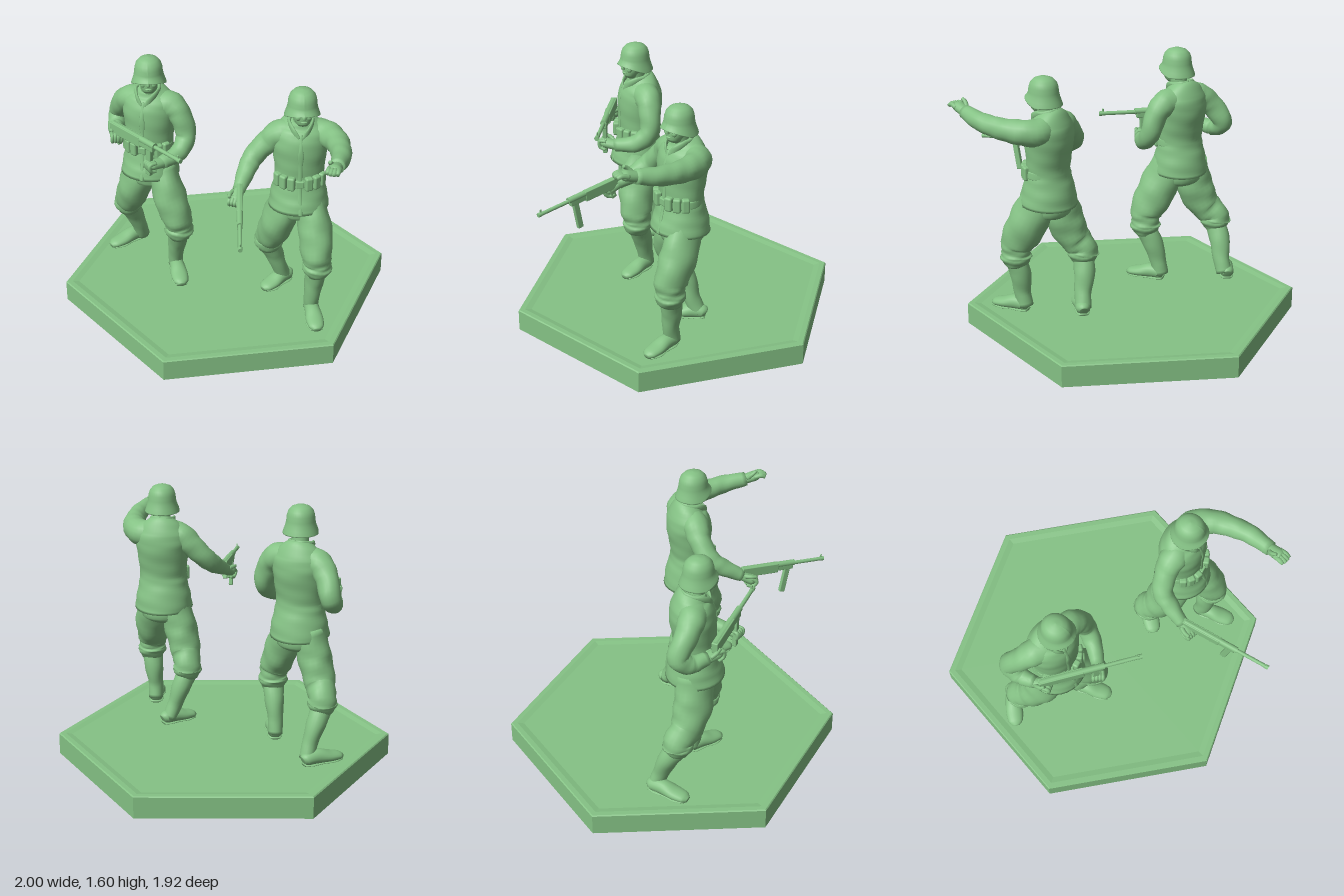
import * as THREE from 'three';
import { RoundedBoxGeometry } from 'three/addons/geometries/RoundedBoxGeometry.js';

const V = (x, y, z) => new THREE.Vector3(x, y, z);
const smooth = new THREE.MeshStandardMaterial({ color: 0x85c285, side: THREE.DoubleSide });
const flat = new THREE.MeshStandardMaterial({ color: 0x85c285, flatShading: true });
const FLOOR = 0.127;

function add(parent, name, geometry, pos = [0, 0, 0], rot = [0, 0, 0], material = smooth) {
  const mesh = new THREE.Mesh(geometry, material);
  mesh.name = name;
  mesh.position.set(...pos);
  mesh.rotation.set(...rot);
  parent.add(mesh);
  return mesh;
}

// Skin over elliptical sections [x, y, z, a, b]; fold adds cloth wrinkles
function loft(sections, { steps = 5, sides = 20, fold = 0 } = {}) {
  const path = new THREE.CatmullRomCurve3(sections.map(s => V(s[0], s[1], s[2])));
  const size = new THREE.CatmullRomCurve3(sections.map(s => V(s[3], s[4] ?? s[3], 0)));
  const n = (sections.length - 1) * steps;
  const chord = path.getPoint(1).sub(path.getPoint(0)).normalize();
  const ref = Math.abs(chord.y) > 0.6 ? V(0, 0, 1) : V(0, 1, 0);
  const pos = [], index = [];
  for (let i = 0; i <= n; i++) {
    const c = path.getPoint(i / n), r = size.getPoint(i / n), t = path.getTangent(i / n);
    const u = ref.clone().cross(t).normalize(), v = t.clone().cross(u);
    for (let j = 0; j < sides; j++) {
      const q = j / sides * Math.PI * 2;
      const w = 1 + fold * (Math.sin(q * 2 + i * 1.3) + 0.6 * Math.sin(q * 3 - i * 0.8));
      const p = c.clone().addScaledVector(u, Math.cos(q) * r.x * w).addScaledVector(v, Math.sin(q) * r.y * w);
      pos.push(p.x, p.y, p.z);
    }
  }
  pos.push(...path.getPoint(0).toArray(), ...path.getPoint(1).toArray());
  const first = (n + 1) * sides;
  for (let j = 0; j < sides; j++) {
    const k = (j + 1) % sides;
    for (let i = 0; i < n; i++) {
      const a = i * sides + j, b = i * sides + k;
      index.push(a, b, b + sides, a, b + sides, a + sides);
    }
    index.push(first, k, j, first + 1, n * sides + j, n * sides + k);
  }
  const g = new THREE.BufferGeometry();
  g.setAttribute('position', new THREE.Float32BufferAttribute(pos, 3));
  g.setIndex(index);
  g.computeVertexNormals();
  return g;
}

const ball = (a, b, c) => new THREE.SphereGeometry(1, 20, 14).scale(a, b, c);

function makeHelmet() {
  const profile = [[0.08, 0.05], [0.106, 0.002], [0.111, 0], [0.111, 0.005], [0.102, 0.03], [0.094, 0.055],
    [0.09, 0.075], [0.087, 0.105], [0.078, 0.132], [0.058, 0.153], [0.032, 0.163], [0, 0.166]];
  const g = new THREE.LatheGeometry(profile.map(p => new THREE.Vector2(...p)), 32);
  const p = g.attributes.position;
  for (let i = 0; i < p.count; i++) { // raise the brim over the face
    const low = Math.max(0, 1 - p.getY(i) / 0.09);
    p.setXYZ(i, p.getX(i) * 0.93, p.getY(i) + low * 0.045 * Math.max(0, p.getZ(i) / 0.11), p.getZ(i));
  }
  g.computeVertexNormals();
  return g;
}

function makeHead([x, y, z], yaw) {
  const head = new THREE.Group();
  head.name = 'head';
  head.position.set(x, y, z);
  head.rotation.y = yaw;
  add(head, 'neck', loft([[0, -0.1, -0.02, 0.056], [0, -0.04, -0.012, 0.05], [0, 0.02, 0, 0.052]]));
  add(head, 'skull', ball(0.065, 0.085, 0.082), [0, 0.045, 0]);
  add(head, 'jaw', loft([[0, -0.045, 0.044, 0.024, 0.026], [0, -0.032, 0.04, 0.038, 0.042],
    [0, 0, 0.034, 0.052, 0.05], [0, 0.05, 0.026, 0.058, 0.056]]));
  add(head, 'nose', loft([[0, 0.055, 0.078, 0.008], [0, 0.032, 0.092, 0.011], [0, 0.02, 0.09, 0.012]], { sides: 10 }));
  add(head, 'mouth', ball(0.019, 0.006, 0.008), [0, -0.005, 0.081]);
  for (const s of [-1, 1]) {
    add(head, 'ear', ball(0.01, 0.024, 0.016), [s * 0.064, 0.025, -0.005]);
    add(head, 'cheek', ball(0.018, 0.018, 0.014), [s * 0.03, 0.02, 0.067]);
  }
  add(head, 'helmet', makeHelmet());
  return head;
}

// Jacket, seat, collar, belt and pouches, facing +z before the turn
function makeTorso([x, z], yaw) {
  const torso = new THREE.Group();
  torso.name = 'torso';
  torso.position.set(x, 0, z);
  torso.rotation.y = yaw;
  add(torso, 'jacket', loft([[0, 0.825, 0.005, 0.176, 0.17], [0, 0.9, 0, 0.166, 0.154], [0, 0.98, 0, 0.149, 0.13],
    [0, 1.04, 0, 0.142, 0.12], [0, 1.13, -0.005, 0.15, 0.126], [0, 1.23, -0.012, 0.162, 0.133],
    [0, 1.3, -0.018, 0.158, 0.12], [0, 1.35, -0.018, 0.12, 0.094], [0, 1.39, -0.008, 0.066, 0.068]],
    { sides: 32, fold: 0.008 }));
  add(torso, 'trouserSeat', loft([[0, 0.73, -0.01, 0.05, 0.05], [0, 0.77, -0.01, 0.13, 0.12], [0, 0.88, 0, 0.14, 0.13]]));
  // Belt sits forward so the jacket covers it at the back
  add(torso, 'belt', loft([[0, 1.002, 0.01, 0.144, 0.121], [0, 1.006, 0.01, 0.147, 0.124],
    [0, 1.042, 0.01, 0.144, 0.121], [0, 1.046, 0.01, 0.14, 0.117]], { sides: 32 }));
  add(torso, 'buckle', new RoundedBoxGeometry(0.045, 0.042, 0.015, 2, 0.005), [0, 1.025, 0.133]);
  add(torso, 'placket', loft([[0.005, 0.84, 0.171, 0.012, 0.005], [0, 0.98, 0.13, 0.012, 0.005],
    [0, 1.13, 0.119, 0.012, 0.005], [0, 1.24, 0.12, 0.012, 0.005], [0, 1.33, 0.088, 0.01, 0.005]], { sides: 10 }));
  for (const s of [-1, 1]) {
    for (const q of [0.35, 0.7, 1.05])
      add(torso, 'ammoPouch', new RoundedBoxGeometry(0.046, 0.085, 0.04, 2, 0.012),
        [s * Math.sin(q) * 0.145, 1.028, Math.cos(q) * 0.134], [0, s * q, 0]);
    add(torso, 'collar', loft([[s * 0.012, 1.305, 0.094, 0.006, 0.01], [s * 0.042, 1.345, 0.075, 0.008, 0.02],
      [s * 0.066, 1.378, 0.02, 0.009, 0.018], [s * 0.045, 1.39, -0.055, 0.009, 0.018], [0, 1.392, -0.072, 0.009, 0.018]],
      { sides: 12 }));
  }
  return torso;
}

// Baggy trousers tucked in a boot; joints are hip, thigh, knee, cuff, ankle
function makeLeg(name, [hip, thigh, knee, cuff, ankle], heel, toe) {
  const leg = new THREE.Group();
  leg.name = name;
  add(leg, 'trouserLeg', loft([[...hip, 0.08, 0.105], [...thigh, 0.1, 0.12], [...knee, 0.09, 0.1],
    [cuff[0], cuff[1] + 0.03, cuff[2], 0.08, 0.086], [...cuff, 0.088, 0.095],
    [cuff[0], cuff[1] - 0.055, cuff[2] - 0.005, 0.062, 0.064]], { steps: 6, fold: 0.03 }));
  add(leg, 'bootShaft', loft([[cuff[0], cuff[1] - 0.02, cuff[2], 0.064],
    [(cuff[0] + ankle[0]) / 2, 0.36, (cuff[2] + ankle[2]) / 2 - 0.01, 0.058, 0.064],
    [...ankle, 0.046, 0.052], [(ankle[0] + heel[0]) / 2, 0.16, (ankle[2] + heel[1]) / 2, 0.044, 0.048]], { fold: 0.015 }));
  const at = (t, h, w) => [heel[0] + (toe[0] - heel[0]) * t, FLOOR + h, heel[1] + (toe[1] - heel[1]) * t, w, h];
  add(leg, 'bootFoot', loft([at(0, 0.03, 0.025), at(0.08, 0.04, 0.042), at(0.35, 0.045, 0.046),
    at(0.65, 0.033, 0.053), at(0.9, 0.024, 0.044), at(1, 0.015, 0.02)]));
  add(leg, 'sole', loft([at(0.02, 0.008, 0.03), at(0.2, 0.008, 0.044), at(0.45, 0.008, 0.042),
    at(0.7, 0.008, 0.054), at(0.95, 0.008, 0.035)]));
  return leg;
}

function makeArm(name, sections, hand, open) {
  const arm = new THREE.Group();
  arm.name = name;
  add(arm, 'sleeve', loft(sections, { steps: 6, fold: 0.025 }));
  const palm = new THREE.Group();
  palm.name = 'hand';
  palm.position.set(...sections.at(-1).slice(0, 3));
  palm.lookAt(V(...hand));
  arm.add(palm);
  add(palm, 'palm', loft([[0, 0, -0.02, 0.03], [0, 0, 0.02, 0.036, 0.03], [0, 0, 0.06, 0.039, 0.03],
    [0, 0, 0.085, 0.03, 0.02]], { sides: 14 }));
  for (let i = 0; i < 4; i++) {
    const f = (i - 1.5) * 0.018;
    add(palm, 'finger', loft(open
      ? [[f, 0.004, 0.05, 0.014], [f, 0.002, 0.095, 0.015], [f, -0.015, 0.13 - Math.abs(f) * 0.5, 0.012]]
      : [[f, 0.02, 0.05, 0.011], [f, 0.012, 0.092, 0.012], [f, -0.025, 0.085, 0.011], [f, -0.035, 0.05, 0.009]],
      { sides: 8 }));
  }
  add(palm, 'thumb', loft([[-0.02, 0.01, 0.01, 0.014], [-0.03, 0.03, 0.045, 0.013], [-0.025, 0.042, 0.075, 0.01]], { sides: 8 }));
  return arm;
}

// Submachine gun along its own +z, from stock to muzzle
function makeGun(from, to) {
  const gun = new THREE.Group();
  gun.name = 'gun';
  gun.position.set(...from);
  gun.lookAt(V(...to));
  gun.scale.setScalar(V(...from).distanceTo(V(...to)) / 0.6);
  const box = (name, w, h, d, pos, tilt = 0) =>
    add(gun, name, new RoundedBoxGeometry(w, h, d, 2, 0.005), pos, [tilt, 0, 0]);
  const tube = (name, r, z0, z1, y) =>
    add(gun, name, new THREE.CylinderGeometry(r, r, z1 - z0, 14), [0, y, (z0 + z1) / 2], [Math.PI / 2, 0, 0]);
  box('receiver', 0.038, 0.066, 0.26, [0, -0.006, 0.13]);
  box('foreStock', 0.032, 0.045, 0.12, [0, -0.006, 0.31]);
  tube('receiverTube', 0.019, 0.01, 0.38, 0.012);
  tube('barrel', 0.012, 0.36, 0.59, 0.008);
  tube('muzzle', 0.014, 0.575, 0.6, 0.008);
  box('frontSight', 0.008, 0.03, 0.012, [0, 0.025, 0.578]);
  box('magazine', 0.026, 0.18, 0.038, [0, -0.11, 0.325], 0.08);
  box('grip', 0.028, 0.085, 0.036, [0, -0.06, 0.06], 0.25);
  return gun;
}

function makeSoldier(name, s) {
  const g = new THREE.Group();
  g.name = name;
  g.add(makeTorso(s.centre, s.yaw), makeHead(s.head, s.headYaw),
    makeLeg('rightLeg', ...s.rightLeg), makeLeg('leftLeg', ...s.leftLeg),
    makeArm('rightArm', ...s.rightArm), makeArm('leftArm', ...s.leftArm), makeGun(...s.gun));
  return g;
}

export function createModel() {
  const model = new THREE.Group();
  model.name = 'soldiersOnBase';

  // Six-sided base with a rim sloping in to the floor
  const rim = [[0, 0], [1, 0], [1, 0.128], [0.993, 0.134], [0.96, 0.134], [0.92, FLOOR], [0, FLOOR]];
  add(model, 'base', new THREE.LatheGeometry(rim.map(p => new THREE.Vector2(...p)), 6, Math.PI / 2),
    [0, 0, -0.096], [0, 0, 0], flat);

  model.add(makeSoldier('guardingSoldier', {
    centre: [-0.44, -0.225], yaw: -0.48, head: [-0.438, 1.43, -0.2], headYaw: -0.15,
    rightLeg: [[[-0.5, 0.88, -0.27], [-0.53, 0.7, -0.29], [-0.56, 0.56, -0.355], [-0.57, 0.47, -0.42],
      [-0.5, 0.25, -0.49]], [-0.46, -0.55], [-0.69, -0.43]],
    leftLeg: [[[-0.38, 0.88, -0.18], [-0.345, 0.7, -0.11], [-0.305, 0.56, -0.06], [-0.295, 0.48, -0.06],
      [-0.31, 0.25, -0.14]], [-0.31, -0.18], [-0.3, 0.06]],
    rightArm: [[[-0.47, 1.285, -0.25, 0.085], [-0.535, 1.28, -0.305, 0.079], [-0.58, 1.22, -0.37, 0.068],
      [-0.602, 1.11, -0.44, 0.06], [-0.625, 1.06, -0.38, 0.053], [-0.64, 1.07, -0.27, 0.038]], [-0.64, 1.09, -0.15], false],
    leftArm: [[[-0.39, 1.285, -0.215, 0.085], [-0.31, 1.28, -0.175, 0.079], [-0.263, 1.22, -0.14, 0.068],
      [-0.238, 1.1, -0.11, 0.06], [-0.29, 1.03, -0.05, 0.053], [-0.4, 1.01, 0.02, 0.038]], [-0.5, 1.02, 0.06], false],
    gun: [[-0.66, 1.14, -0.24], [-0.315, 1.148, 0.26]],
  }));

  model.add(makeSoldier('pointingSoldier', {
    centre: [0.37, 0.275], yaw: -0.16, head: [0.373, 1.42, 0.295], headYaw: -0.08,
    rightLeg: [[[0.305, 0.88, 0.25], [0.265, 0.7, 0.23], [0.235, 0.56, 0.175], [0.225, 0.47, 0.125],
      [0.3, 0.25, 0.095]], [0.375, 0.055], [0.185, 0.18]],
    leftLeg: [[[0.43, 0.88, 0.3], [0.45, 0.7, 0.38], [0.45, 0.56, 0.45], [0.455, 0.48, 0.455],
      [0.435, 0.25, 0.43]], [0.435, 0.39], [0.43, 0.63]],
    rightArm: [[[0.34, 1.285, 0.26, 0.085], [0.26, 1.28, 0.24, 0.08], [0.19, 1.22, 0.225, 0.068],
      [0.1, 1.13, 0.24, 0.06], [0.055, 1.08, 0.3, 0.053], [-0.005, 1.02, 0.4, 0.036]], [-0.05, 0.97, 0.48], false],
    leftArm: [[[0.4, 1.285, 0.255, 0.085], [0.495, 1.287, 0.28, 0.08], [0.545, 1.295, 0.38, 0.072],
      [0.55, 1.305, 0.5, 0.062], [0.53, 1.32, 0.62, 0.055], [0.475, 1.345, 0.75, 0.042]], [0.42, 1.385, 0.87], true],
    gun: [[0, 1.045, 0.4], [-0.085, 0.985, 0.95]],
  }));
  return model;
}
